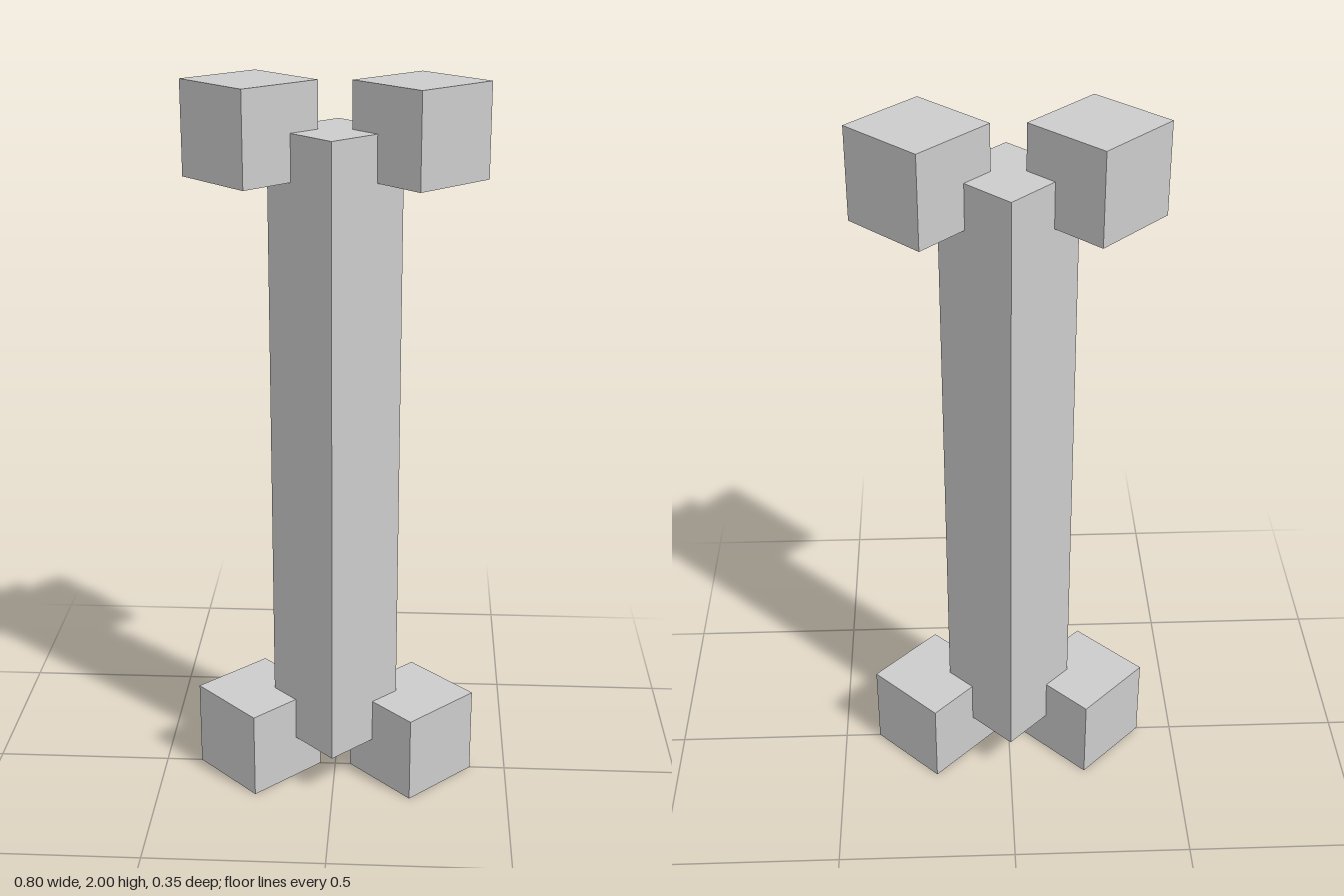
import * as THREE from 'three';

const SIDE = 0.25;      // square section shared by shaft and knobs
const HEIGHT = 2;
const KNOB_X = 0.221;   // knob offset from the centre line

export function createModel() {
  const group = new THREE.Group();
  const material = new THREE.MeshStandardMaterial({ color: 0xcccccc, flatShading: true });

  // Square block turned 45 degrees, so an edge faces the front
  function addBlock(name, height, x, y) {
    const mesh = new THREE.Mesh(new THREE.BoxGeometry(SIDE, height, SIDE), material);
    mesh.name = name;
    mesh.position.set(x, y, 0);
    mesh.rotation.y = Math.PI / 4;
    group.add(mesh);
  }

  // Shaft ends halfway up the knobs
  addBlock('shaft', HEIGHT - SIDE, 0, HEIGHT / 2);

  // Pair of cubic knobs at each end
  for (const [end, y] of [['lower', SIDE / 2], ['upper', HEIGHT - SIDE / 2]]) {
    addBlock(end + 'LeftKnob', SIDE, KNOB_X, y);
    addBlock(end + 'RightKnob', SIDE, -KNOB_X, y);
  }

  return group;
}
